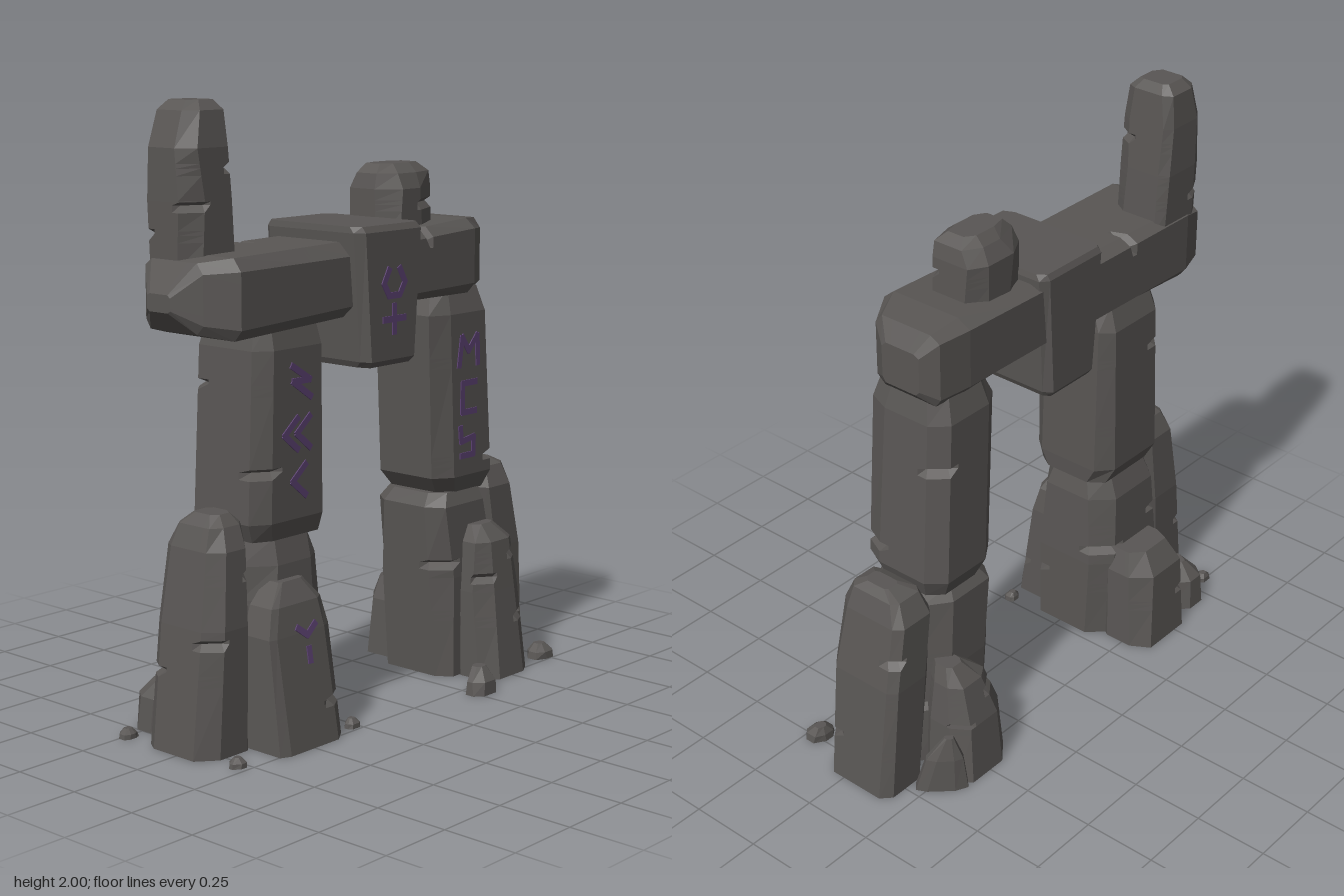
import * as THREE from 'three';

const mat = (name, color) => {
  const m = new THREE.MeshStandardMaterial({ color });
  m.name = name;
  return m;
};

// Hewn stone: chamfered cross-sections [t, a0, a1, b0, b1] joined along an axis.
// axis 'y': t=y, a=x, b=z.  axis 'x': t=x, a=z, b=y.
// Notches [t, corner] chip a small wedge out of one of the four long edges.
function stoneGeometry(rows, { axis = 'y', notches = [], seed = 1, chamfer = 0.2 } = {}) {
  let s = seed * 7919 + 17;
  const rnd = () => (s = (s * 16807) % 2147483647) / 2147483647;
  for (let i = 0; i < 5; i++) rnd();
  const cuts = Array.from({ length: 8 }, () => chamfer * (0.55 + 0.9 * rnd()));
  const place = (t, a, b) => axis === 'y' ? new THREE.Vector3(a, t, b) : new THREE.Vector3(t, b, a);
  const N = 16;

  let loops = rows.map(([t, a0, a1, b0, b1]) => {
    const w = a1 - a0, d = b1 - b0;
    const c = cuts.map(v => v * (0.75 + 0.45 * rnd()));
    const p = [
      [a1, b0 + c[0] * d], [a1, b1 - c[1] * d], [a1 - c[2] * w, b1], [a0 + c[3] * w, b1],
      [a0, b1 - c[4] * d], [a0, b0 + c[5] * d], [a0 + c[6] * w, b0], [a1 - c[7] * w, b0],
    ].map(([a, b]) => place(t, a, b));
    // Two extra points on each broad face keep the chips close to the edge
    const pts = [];
    for (let f = 0; f < 8; f += 2) {
      pts.push(p[f], p[f].clone().lerp(p[f + 1], 0.2), p[f].clone().lerp(p[f + 1], 0.8), p[f + 1]);
    }
    return { t, pts, mid: place(t, (a0 + a1) / 2, (b0 + b1) / 2) };
  });

  const at = t => {
    const i = Math.max(1, loops.findIndex(l => l.t >= t));
    const p = loops[i - 1], q = loops[i], k = (t - p.t) / (q.t - p.t);
    return { t, pts: p.pts.map((v, j) => v.clone().lerp(q.pts[j], k)), mid: p.mid.clone().lerp(q.mid, k) };
  };
  const extra = [];
  for (const [t, corner] of notches) {
    const cut = at(t);
    for (const j of [corner * 4 + 3, (corner * 4 + 4) % N]) cut.pts[j].lerp(cut.mid, 0.17);
    extra.push(at(t - 0.022), cut, at(t + 0.014));
  }
  loops = loops.concat(extra).sort((p, q) => p.t - q.t);

  const pos = [];
  const tri = (...v) => v.forEach(p => pos.push(p.x, p.y, p.z));
  const last = loops[loops.length - 1];
  for (let i = 0; i < N; i++) {
    const n = (i + 1) % N;
    tri(loops[0].mid, loops[0].pts[i], loops[0].pts[n]);
    tri(last.mid, last.pts[n], last.pts[i]);
    for (let r = 0; r + 1 < loops.length; r++) {
      const p = loops[r].pts, q = loops[r + 1].pts;
      tri(p[i], q[i], p[n]);
      tri(p[n], q[i], q[n]);
    }
  }
  const g = new THREE.BufferGeometry();
  g.setAttribute('position', new THREE.Float32BufferAttribute(pos, 3));
  g.computeVertexNormals();
  return g;
}

export function createModel() {
  const root = new THREE.Group();
  root.name = 'stoneGate';
  const stoneMat = mat('stone', 0x595654);
  const violetMat = mat('violetInlay', 0x5c4272);
  let seed = 1;

  const stone = (name, rows, opts = {}) => {
    const mesh = new THREE.Mesh(stoneGeometry(rows, { seed: seed++, ...opts }), stoneMat);
    mesh.name = name;
    root.add(mesh);
    return mesh;
  };

  // Lower pillars
  stone('rightLowerPillar', [
    [0, -0.63, -0.28, -0.18, 0.14], [0.3, -0.62, -0.28, -0.19, 0.14],
    [0.56, -0.6, -0.29, -0.18, 0.12], [0.645, -0.57, -0.31, -0.15, 0.1],
  ], { notches: [[0.2, 0], [0.36, 3], [0.44, 2]] });
  stone('leftLowerPillar', [
    [0, 0.31, 0.63, -0.18, 0.13], [0.35, 0.29, 0.61, -0.19, 0.13],
    [0.6, 0.275, 0.57, -0.18, 0.12], [0.645, 0.3, 0.55, -0.15, 0.1],
  ], { notches: [[0.4, 1], [0.22, 3]] });

  // Upper pillars
  stone('rightUpperPillar', [
    [0.64, -0.58, -0.28, -0.16, 0.11], [0.7, -0.605, -0.275, -0.19, 0.13],
    [1.24, -0.58, -0.275, -0.19, 0.13], [1.33, -0.56, -0.29, -0.16, 0.11],
  ], { chamfer: 0.16, notches: [[0.86, 1], [1.12, 2]] });
  stone('leftUpperPillar', [
    [0.64, 0.33, 0.56, -0.17, 0.1], [0.7, 0.285, 0.58, -0.195, 0.125],
    [1.26, 0.25, 0.54, -0.185, 0.125], [1.345, 0.29, 0.52, -0.16, 0.1],
  ], { chamfer: 0.16, notches: [[0.76, 0], [1.1, 3]] });

  // Lintel, keystone and the stones on top
  stone('lintel', [
    [-0.835, -0.1, 0.0, 1.375, 1.43], [-0.775, -0.17, 0.08, 1.31, 1.525],
    [-0.7, -0.185, 0.165, 1.29, 1.54], [-0.2, -0.185, 0.165, 1.31, 1.55],
    [0.05, -0.185, 0.165, 1.33, 1.56], [0.4, -0.185, 0.165, 1.33, 1.58],
    [0.52, -0.17, 0.09, 1.33, 1.57], [0.56, -0.12, 0.03, 1.37, 1.51],
  ], { axis: 'x', chamfer: 0.15, notches: [[0.17, 0], [-0.4, 1]] });
  stone('keystone', [
    [1.15, -0.18, 0.03, -0.185, 0.2], [1.17, -0.19, 0.04, -0.2, 0.217],
    [1.58, -0.228, 0.07, -0.2, 0.217], [1.6, -0.225, 0.065, -0.19, 0.205],
  ], { chamfer: 0.07 });
  stone('tallTopStone', [
    [1.5, -0.77, -0.55, -0.18, 0.02], [1.7, -0.775, -0.565, -0.185, 0.02],
    [1.86, -0.775, -0.58, -0.18, 0.02], [1.97, -0.74, -0.59, -0.17, 0],
    [2, -0.71, -0.61, -0.14, -0.03],
  ], { notches: [[1.69, 1], [1.8, 0], [1.6, 2]] });
  stone('shortTopStone', [
    [1.52, 0.06, 0.315, -0.13, 0.09], [1.69, 0.06, 0.31, -0.13, 0.09],
    [1.74, 0.07, 0.3, -0.1, 0.07], [1.77, 0.1, 0.27, -0.07, 0.03],
  ], { chamfer: 0.26, notches: [[1.64, 0]] });

  // Slabs leaning on the feet
  stone('rightOuterSlab', [
    [0, -0.84, -0.6, -0.14, 0.13], [0.4, -0.8, -0.58, -0.14, 0.13],
    [0.64, -0.765, -0.59, -0.12, 0.11], [0.71, -0.74, -0.6, -0.09, 0.08], [0.745, -0.71, -0.63, -0.05, 0.05],
  ], { notches: [[0.36, 1], [0.56, 0], [0.25, 2]] });
  stone('leftOuterSlab', [
    [0, 0.65, 0.84, -0.19, 0.09], [0.4, 0.6, 0.79, -0.19, 0.095],
    [0.62, 0.57, 0.745, -0.18, 0.09], [0.69, 0.59, 0.72, -0.14, 0.06], [0.71, 0.63, 0.69, -0.08, 0.02],
  ], { notches: [[0.16, 0], [0.36, 1], [0.5, 3]] });
  stone('rightFrontSlab', [
    [0, -0.64, -0.34, 0.08, 0.27], [0.36, -0.63, -0.355, 0.08, 0.21],
    [0.45, -0.6, -0.37, 0.08, 0.19], [0.515, -0.53, -0.42, 0.08, 0.15],
  ], { chamfer: 0.13, notches: [[0.13, 0]] });
  stone('leftFrontSlab', [
    [0, 0.38, 0.61, 0.08, 0.27], [0.3, 0.385, 0.6, 0.08, 0.23],
    [0.47, 0.4, 0.58, 0.08, 0.21], [0.525, 0.43, 0.53, 0.08, 0.16],
  ], { notches: [[0.2, 0], [0.35, 1], [0.42, 0]] });
  stone('rightBackSlab', [
    [0, -0.58, -0.32, -0.35, -0.12], [0.28, -0.57, -0.33, -0.33, -0.12],
    [0.36, -0.54, -0.36, -0.28, -0.12],
  ], { notches: [[0.17, 2]] });
  stone('rightBackBlock', [
    [0, -0.75, -0.59, -0.32, -0.17], [0.11, -0.74, -0.6, -0.31, -0.17], [0.17, -0.69, -0.63, -0.26, -0.18],
  ], { chamfer: 0.27 });
  stone('leftBackSlab', [
    [0, 0.37, 0.62, -0.34, -0.12], [0.2, 0.38, 0.61, -0.32, -0.12],
    [0.34, 0.43, 0.59, -0.28, -0.13], [0.4, 0.5, 0.57, -0.23, -0.15],
  ], { notches: [[0.2, 3], [0.29, 2]] });
  const shard = stone('leftBackShard', [
    [0, -0.085, 0.085, -0.03, 0.03], [0.12, -0.07, 0.05, -0.025, 0.02], [0.2, -0.04, -0.01, -0.01, 0.01],
  ]);
  shard.position.set(0.66, 0, -0.27);
  shard.rotation.y = -0.82;

  // Loose pebbles: x, z, half width, height
  for (const [x, z, r, h] of [
    [-0.82, -0.24, 0.03, 0.03], [-0.78, 0.21, 0.03, 0.03], [-0.275, 0.22, 0.027, 0.03],
    [0.28, 0.3, 0.058, 0.09], [0.735, 0.21, 0.047, 0.05],
  ]) {
    stone('pebble', [
      [0, x - r, x + r, z - r * 0.8, z + r * 0.8],
      [h * 0.5, x - r * 0.9, x + r * 0.9, z - r * 0.75, z + r * 0.75],
      [h, x - r * 0.3, x + r * 0.5, z - r * 0.5, z + r * 0.2],
    ], { chamfer: 0.3 });
  }

  // Abstract inlaid marks: thin violet bars along polylines
  const mark = (x, y, z, lines, tilt = 0) => {
    const g = new THREE.Group();
    g.name = 'inlaidMark';
    g.position.set(x, y, z);
    g.rotation.x = tilt;
    for (const line of lines) for (let i = 0; i + 1 < line.length; i++) {
      const [ax, ay] = line[i], [bx, by] = line[i + 1];
      const length = Math.hypot(bx - ax, by - ay) + 0.012;
      const bar = new THREE.Mesh(new THREE.BoxGeometry(length, 0.021, 0.004), violetMat);
      bar.name = 'inlayBar';
      bar.position.set((ax + bx) / 2, (ay + by) / 2, 0.002);
      bar.rotation.z = Math.atan2(by - ay, bx - ax);
      g.add(bar);
    }
    root.add(g);
  };
  const chevron = dx => [[dx + 0.03, 0.05], [dx - 0.03, 0], [dx + 0.03, -0.05]];
  mark(-0.405, 1.13, 0.13, [[[-0.045, 0.055], [0.035, 0.005], [-0.04, 0.005], [0.04, -0.05]]]);
  mark(-0.43, 0.97, 0.13, [chevron(-0.025), chevron(0.03)]);
  mark(-0.42, 0.82, 0.13, [chevron(0)]);
  mark(0.42, 1.13, 0.125, [[[-0.05, -0.05], [-0.035, 0.05], [0, 0], [0.045, 0.05], [0.05, -0.05]]]);
  mark(0.425, 0.97, 0.125, [[[0.035, 0.05], [-0.035, 0.05], [-0.035, -0.05], [0.035, -0.05]]]);
  mark(0.42, 0.82, 0.125, [[[-0.04, 0.05], [-0.035, 0], [0.03, 0.01], [0.03, -0.05], [-0.035, -0.05]]]);
  mark(-0.07, 1.415, 0.217, [[[-0.025, 0.045], [-0.05, 0], [-0.025, -0.04], [0.025, -0.04], [0.05, 0], [0.025, 0.045]]]);
  mark(-0.07, 1.3, 0.217, [[[-0.05, 0], [0.05, 0]], [[0, 0.045], [0, -0.045]]]);
  mark(-0.475, 0.33, 0.217, [[[-0.04, 0.05], [0, 0.02], [0.04, 0.05]], [[0, -0.02], [0, -0.065]]], -0.165);

  return root;
}
